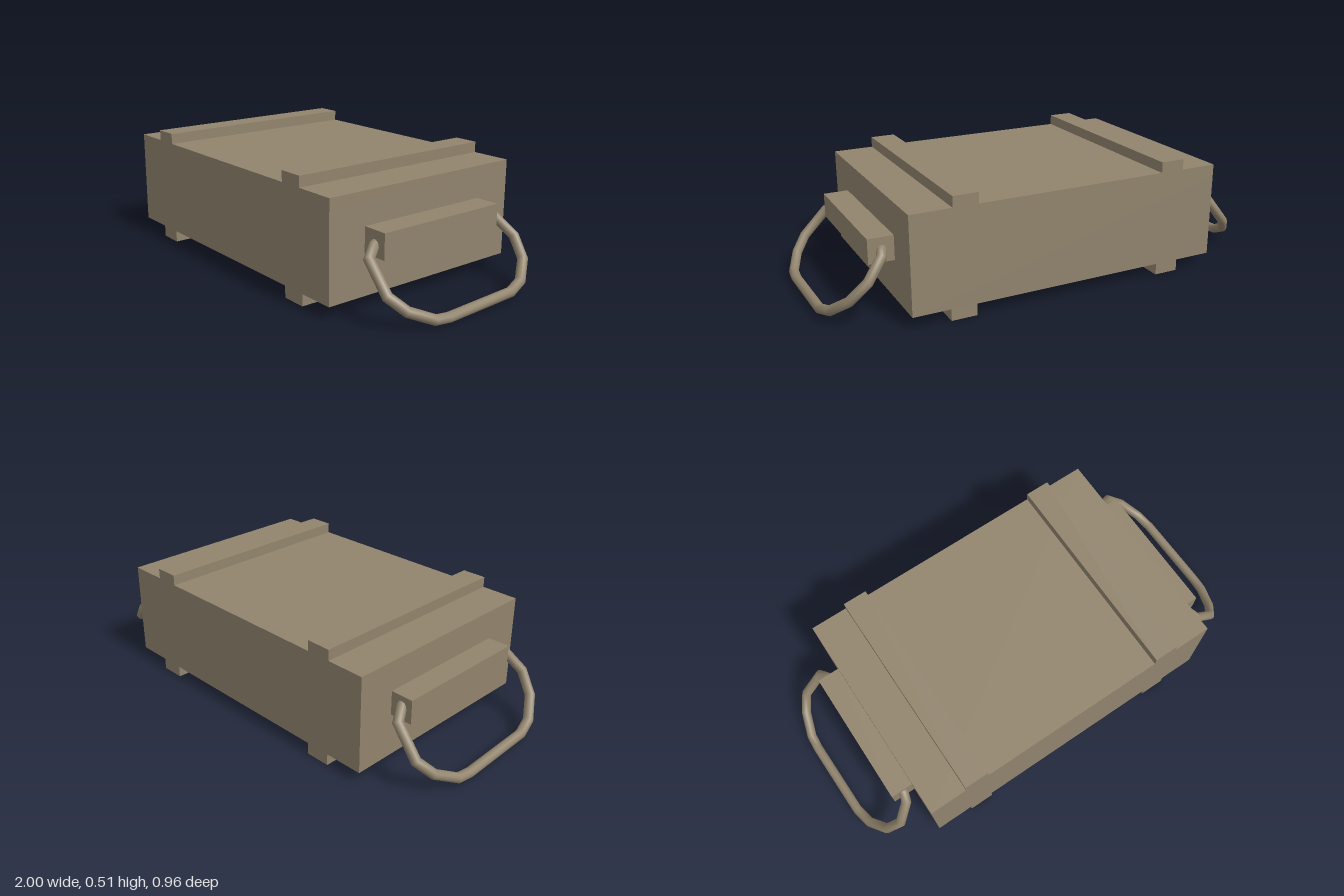
import * as THREE from 'three';

const wood = new THREE.MeshStandardMaterial({ color: 0x91846d });
wood.name = 'drab paint';

// box given by its limits on each axis
function box(name, x0, x1, y0, y1, z0, z1) {
  const g = new THREE.BoxGeometry(x1 - x0, y1 - y0, z1 - z0);
  g.translate((x0 + x1) / 2, (y0 + y1) / 2, (z0 + z1) / 2);
  const mesh = new THREE.Mesh(g, wood);
  mesh.name = name;
  return mesh;
}

// mitred round tube along a planar polyline with plane normal n
function rope(points, n, radius, sides = 10) {
  const pos = [], index = [];
  const last = points.length - 1;
  points.forEach((p, i) => {
    const a = points[Math.max(i, 1)].clone().sub(points[Math.max(i, 1) - 1]).normalize();
    const k = Math.min(i, last - 1);
    const b = points[k + 1].clone().sub(points[k]).normalize();
    const t = a.clone().add(b).normalize();
    const m = new THREE.Vector3().crossVectors(n, t);
    const stretch = 1 / Math.max(0.7, t.dot(a));
    for (let j = 0; j < sides; j++) {
      const ang = (j / sides) * Math.PI * 2;
      const v = p.clone()
        .addScaledVector(m, Math.cos(ang) * radius * stretch)
        .addScaledVector(n, Math.sin(ang) * radius);
      pos.push(v.x, v.y, v.z);
      if (i < last) {
        const j2 = (j + 1) % sides, r0 = i * sides, r1 = r0 + sides;
        index.push(r0 + j, r0 + j2, r1 + j, r0 + j2, r1 + j2, r1 + j);
      }
    }
  });
  const g = new THREE.BufferGeometry();
  g.setAttribute('position', new THREE.Float32BufferAttribute(pos, 3));
  g.setIndex(index);
  g.computeVertexNormals();
  return g;
}

// handle outline: [z, fraction of the way from block to ground]
const outline = [
  [0.27, 0.0], [0.31, 0.04], [0.362, 0.17], [0.367, 0.6], [0.315, 0.81], [0.215, 0.98], [0.15, 1],
  [-0.2, 0.97], [-0.28, 0.89], [-0.36, 0.66], [-0.385, 0.37], [-0.342, 0.08], [-0.305, 0.02], [-0.27, 0.0],
];

function handle(name, side, top, bottom) {
  const n = new THREE.Vector3(top[1] - bottom[1], bottom[0] - top[0], 0).normalize();
  const pts = outline.map(([z, f]) => new THREE.Vector3(
    top[0] + (bottom[0] - top[0]) * f,
    top[1] + (bottom[1] - top[1]) * f,
    z * side));
  const mesh = new THREE.Mesh(rope(pts, n, 0.021), wood);
  mesh.name = name;
  return mesh;
}

export function createModel() {
  const crate = new THREE.Group();
  crate.name = 'crate';
  const z0 = -0.48, z1 = 0.476;

  // body and lid
  crate.add(box('body', -0.716, 0.69, 0.05, 0.42, z0, z1));
  crate.add(box('lid', -0.716, 0.69, 0.42, 0.465, z0, z1));

  // battens across the lid and skids under the body
  crate.add(box('rightBatten', -0.55, -0.442, 0.465, 0.511, z0, z1));
  crate.add(box('leftBatten', 0.405, 0.514, 0.465, 0.511, z0, z1));
  crate.add(box('rightSkid', -0.547, -0.438, 0, 0.05, z0, z1));
  crate.add(box('leftSkid', 0.42, 0.53, 0, 0.05, z0, z1));

  // handle blocks on the ends
  crate.add(box('rightHandleBlock', -0.814, -0.716, 0.234, 0.337, -0.31, 0.304));
  crate.add(box('leftHandleBlock', 0.69, 0.798, 0.223, 0.328, -0.306, 0.306));

  // rope handles, the right one turned half round
  crate.add(handle('leftRopeHandle', 1, [0.736, 0.28], [0.981, 0.024]));
  crate.add(handle('rightRopeHandle', -1, [-0.757, 0.305], [-0.983, 0.025]));
  return crate;
}
